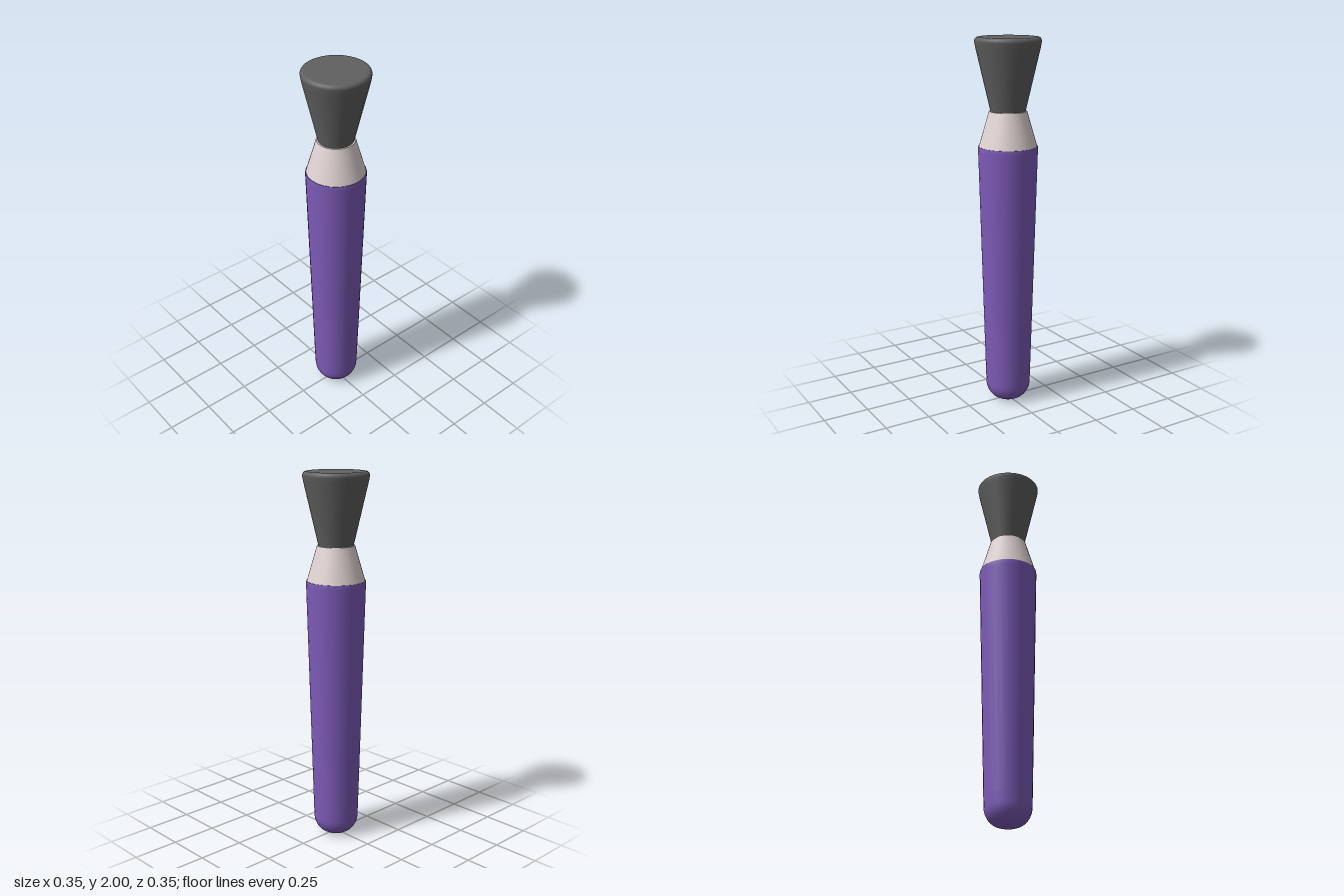
import * as THREE from 'three';

const SIDES = 28;

// Spin a profile of [radius, height] points, listed from bottom to top
function turned(name, profile, material) {
  const points = profile.map(([r, y]) => new THREE.Vector2(r, y));
  const mesh = new THREE.Mesh(new THREE.LatheGeometry(points, SIDES), material);
  mesh.name = name;
  return mesh;
}

// Points along an elliptical quarter arc, angles in degrees
function arc(cx, cy, rx, ry, from, to, steps) {
  return Array.from({ length: steps + 1 }, (_, i) => {
    const a = THREE.MathUtils.degToRad(from + (to - from) * i / steps);
    return [Math.max(0, cx + rx * Math.cos(a)), cy + ry * Math.sin(a)];
  });
}

export function createModel() {
  const purple = new THREE.MeshStandardMaterial({ color: 0x7d5bb8 });
  purple.name = 'handlePurple';
  const pale = new THREE.MeshStandardMaterial({ color: 0xe0d2d2 });
  pale.name = 'collarPale';
  const grey = new THREE.MeshStandardMaterial({ color: 0x606060 });
  grey.name = 'bristleGrey';

  const group = new THREE.Group();
  group.name = 'brush';

  // Tapered handle with a rounded butt
  group.add(turned('handle', [
    [0, 0],
    ...arc(0.03, 0.1, 0.092, 0.1, -90, 0, 8),
    [0.124, 0.16], [0.158, 1.41], [0.159, 1.425], [0.157, 1.435],
  ], purple));

  // Flat rim closing the top of the handle
  group.add(turned('handleRim', [[0.157, 1.435], [0.08, 1.436]], purple));

  // Conical collar and its narrow top ledge
  group.add(turned('collar', [[0.154, 1.435], [0.1, 1.62]], pale));
  group.add(turned('collarLedge', [[0.1, 1.62], [0.06, 1.621]], pale));

  // Flared bristles with a softened upper edge
  group.add(turned('bristles', [
    [0.09, 1.61], [0.169, 1.95],
    ...arc(0.154, 1.98, 0.02, 0.02, -10, 90, 5),
    [0.14, 2], [0, 2],
  ], grey));

  return group;
}
